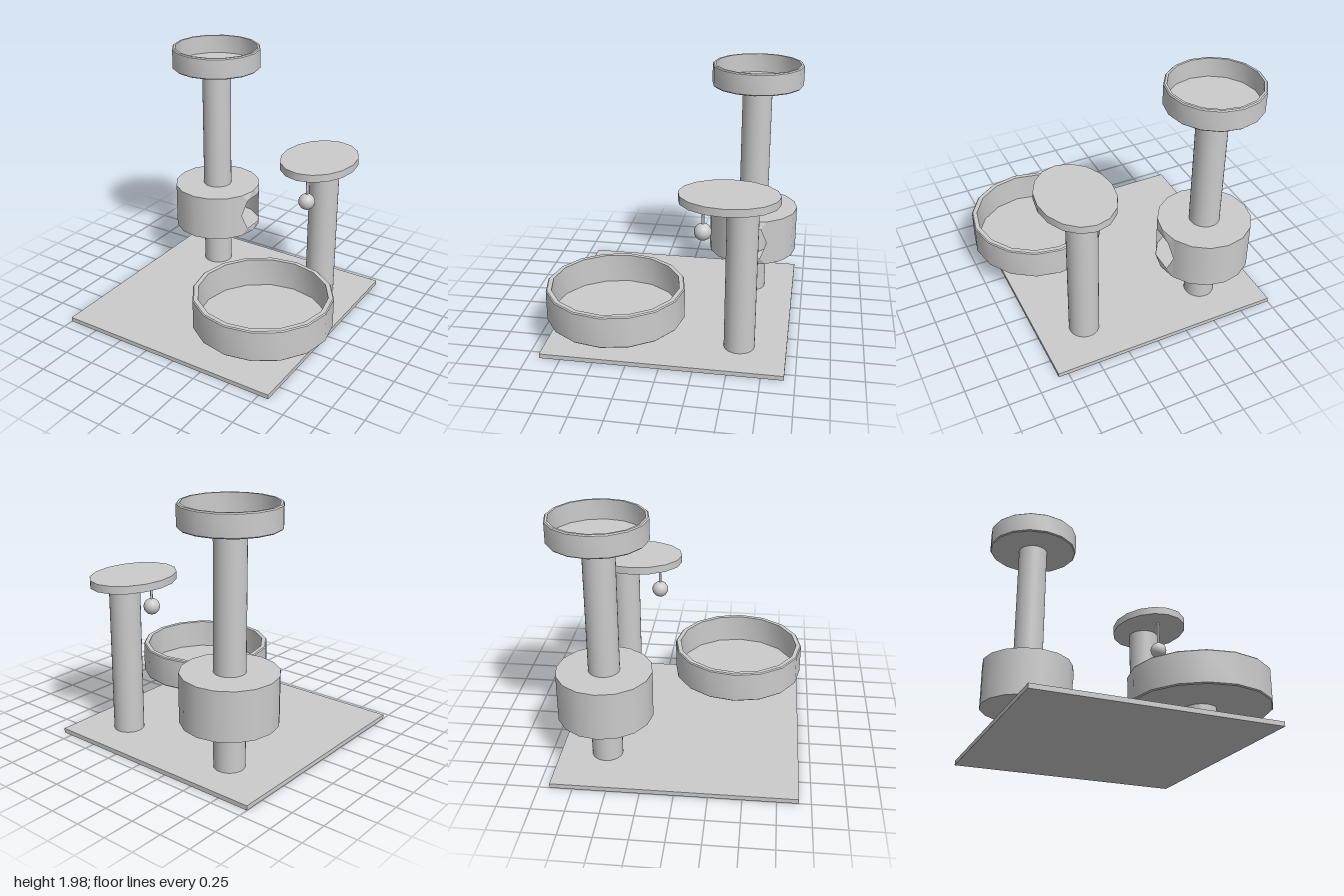
import * as THREE from 'three';
import { toCreasedNormals } from 'three/addons/utils/BufferGeometryUtils.js';

const SIDES = 16;
const V = (x, y) => new THREE.Vector2(x, y);

export function createModel() {
  const model = new THREE.Group();
  const grey = new THREE.MeshStandardMaterial({ color: 0xcccccc });
  const greyDouble = new THREE.MeshStandardMaterial({ color: 0xcccccc, side: THREE.DoubleSide });

  function add(name, geometry, x, y, z, material = grey, parent = model) {
    const mesh = new THREE.Mesh(geometry, material);
    mesh.name = name;
    mesh.position.set(x, y, z);
    parent.add(mesh);
    return mesh;
  }

  // Upright post between two heights
  function post(name, x, z, y0, y1, radius = 0.118, sides = 32) {
    add(name, new THREE.CylinderGeometry(radius, radius, y1 - y0, sides), x, (y0 + y1) / 2, z);
  }

  // Open round bed: flat floor, thin wall, softened edges
  function basket(name, x, y, z, radius, height, wall, floor) {
    const b = 0.008;
    const inner = radius - wall;
    const profile = [
      V(0, 0), V(radius - b, 0), V(radius, b), V(radius, height - b), V(radius - b, height),
      V(inner, height), V(inner, floor), V(0, floor),
    ];
    add(name, toCreasedNormals(new THREE.LatheGeometry(profile, SIDES), 0.7), x, y, z);
  }

  // Base board
  add('baseBoard', new THREE.BoxGeometry(1.83, 0.035, 1.83), -0.085, 0.0175, -0.005);

  // Tall corner: post, hideaway and top basket
  post('tallPost', -0.56, -0.56, 0.03, 1.82);
  basket('topBasket', -0.56, 1.81, -0.56, 0.362, 0.17, 0.025, 0.02);
  const hideaway = createHideaway(add, greyDouble);
  hideaway.position.set(-0.56, 0.587, -0.56);
  model.add(hideaway);

  // Large low basket on a short post
  post('shortPost', 0.465, 0.393, 0.03, 0.25);
  basket('largeBasket', 0.468, 0.24, 0.39, 0.53, 0.25, 0.042, 0.02);

  // Oval perch on a middle post
  post('middlePost', 0.465, -0.56, 0.03, 1.22);
  const perch = new THREE.CylinderGeometry(1, 1, 0.06, SIDES).scale(0.288, 1, 0.372);
  add('ovalPerch', perch, 0.467, 1.245, -0.458);

  // Hanging ball toy
  post('toyString', 0.465, -0.27, 1.0, 1.22, 0.01, 8);
  add('toyBall', new THREE.SphereGeometry(0.065, 20, 14), 0.465, 0.967, -0.27);

  return model;
}

// Hollow drum with a six-sided doorway facing +x
function createHideaway(add, material) {
  const group = new THREE.Group();
  group.name = 'hideaway';
  const r = 0.362, h = 0.188, step = Math.PI / 8;

  // Wall, leaving out the two facets around the doorway
  const wall = new THREE.CylinderGeometry(
    r, r, 2 * h, SIDES - 2, 1, true, Math.PI / 2 + step, 2 * Math.PI - 2 * step);
  add('hideawayWall', wall, 0, 0, 0, material, group);

  // Lid and floor
  for (const s of [1, -1]) {
    const cap = new THREE.CircleGeometry(r, SIDES).rotateX(-s * Math.PI / 2);
    add(s > 0 ? 'hideawayLid' : 'hideawayFloor', cap, 0, s * h, 0, material, group);
  }

  // Doorway panel: upper half triangles, mirrored downward
  const cx = r * Math.cos(step), cz = r * Math.sin(step);
  const P = {
    t0: [cx, h, cz], t1: [r, h, 0], t2: [cx, h, -cz],
    a: [r, 0.13, 0.09], b: [r, 0.13, -0.09],
    f: [cx, 0, cz], c: [cx, 0, -cz],
  };
  const triangles = ['t0 f a', 't0 a t1', 't1 a b', 't1 b t2', 't2 b c'].map((t) => t.split(' '));
  const positions = [];
  for (const s of [1, -1]) {
    for (const tri of triangles) {
      const corners = s > 0 ? tri : [...tri].reverse();
      for (const k of corners) positions.push(P[k][0], s * P[k][1], P[k][2]);
    }
  }
  const panel = new THREE.BufferGeometry();
  panel.setAttribute('position', new THREE.Float32BufferAttribute(positions, 3));
  panel.computeVertexNormals();
  add('doorwayPanel', panel, 0, 0, 0, material, group);
  return group;
}
